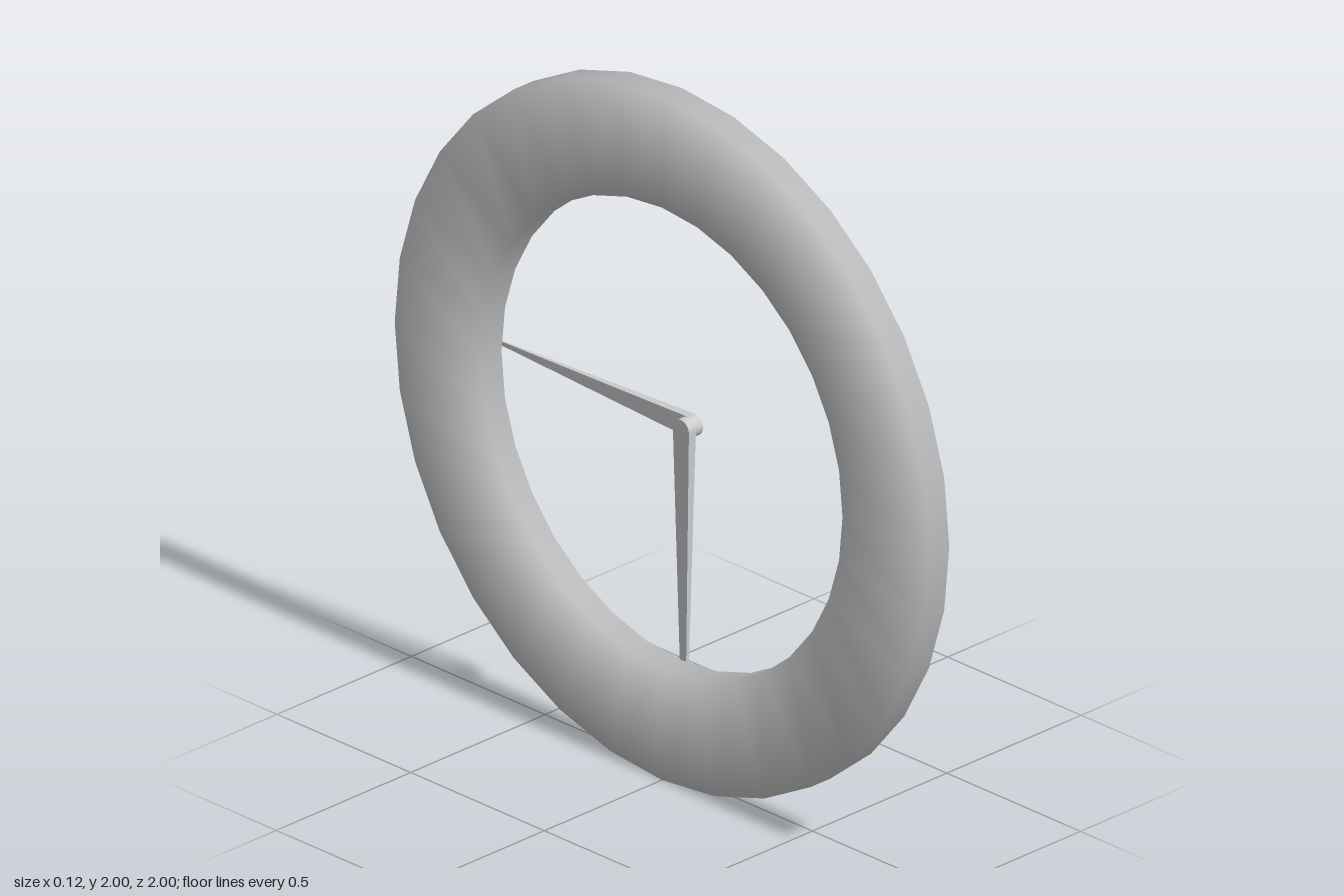
import * as THREE from 'three';

const material = new THREE.MeshStandardMaterial({ color: 0xcccccc });

// Flat ring around the x axis: square-cornered section with softly blended normals
function ringGeometry(inner, outer, x0, x1, sides) {
  const geo = new THREE.TorusGeometry((inner + outer) / 2, (outer - inner) / 2, 4, sides);
  const pos = geo.attributes.position, nor = geo.attributes.normal;
  const corners = [[1, -1], [1, 1], [-1, 1], [-1, -1]]; // radial, axial
  for (let i = 0; i < pos.count; i++) {
    const [rad, axial] = corners[Math.floor(i / (sides + 1)) % 4];
    const a = (i % (sides + 1)) / sides * Math.PI * 2;
    const r = rad > 0 ? outer : inner;
    pos.setXYZ(i, r * Math.cos(a), r * Math.sin(a), axial > 0 ? x1 : x0);
    nor.setXYZ(i, rad * Math.SQRT1_2 * Math.cos(a), rad * Math.SQRT1_2 * Math.sin(a), axial * Math.SQRT1_2);
  }
  return geo.rotateY(Math.PI / 2);
}

// Clock hand pointing down from its pivot, tapering in width and thickness
function hand(name, length, halfWidth, thickness) {
  const group = new THREE.Group();
  group.name = name;
  const blade = new THREE.BoxGeometry(thickness, length, halfWidth * 2).translate(0, -length / 2, 0);
  const pos = blade.attributes.position;
  for (let i = 0; i < pos.count; i++) {
    if (pos.getY(i) < -length / 2) {
      pos.setX(i, pos.getX(i) * 0.15);
      pos.setZ(i, pos.getZ(i) * 0.15);
    }
  }
  blade.computeVertexNormals();
  const bladeMesh = new THREE.Mesh(blade, material);
  bladeMesh.name = name + 'Blade';

  // Half-round end at the pivot
  const end = new THREE.CylinderGeometry(halfWidth, halfWidth, thickness, 12, 1, false, 0, Math.PI);
  const endMesh = new THREE.Mesh(end.rotateZ(Math.PI / 2), material);
  endMesh.name = name + 'RoundEnd';
  group.add(bladeMesh, endMesh);
  return group;
}

export function createModel() {
  const model = new THREE.Group();
  model.name = 'wallClock';

  const ring = new THREE.Mesh(ringGeometry(0.675, 1, -0.062, 0.012, 32), material);
  ring.name = 'ring';
  ring.position.y = 1;

  const minuteHand = hand('minuteHand', 0.96, 0.03, 0.026);
  minuteHand.position.set(0.021, 1, 0);

  const hourHand = hand('hourHand', 0.745, 0.03, 0.027);
  hourHand.position.set(0.0475, 1, 0);
  hourHand.rotation.x = Math.PI / 2;

  model.add(ring, minuteHand, hourHand);
  return model;
}
